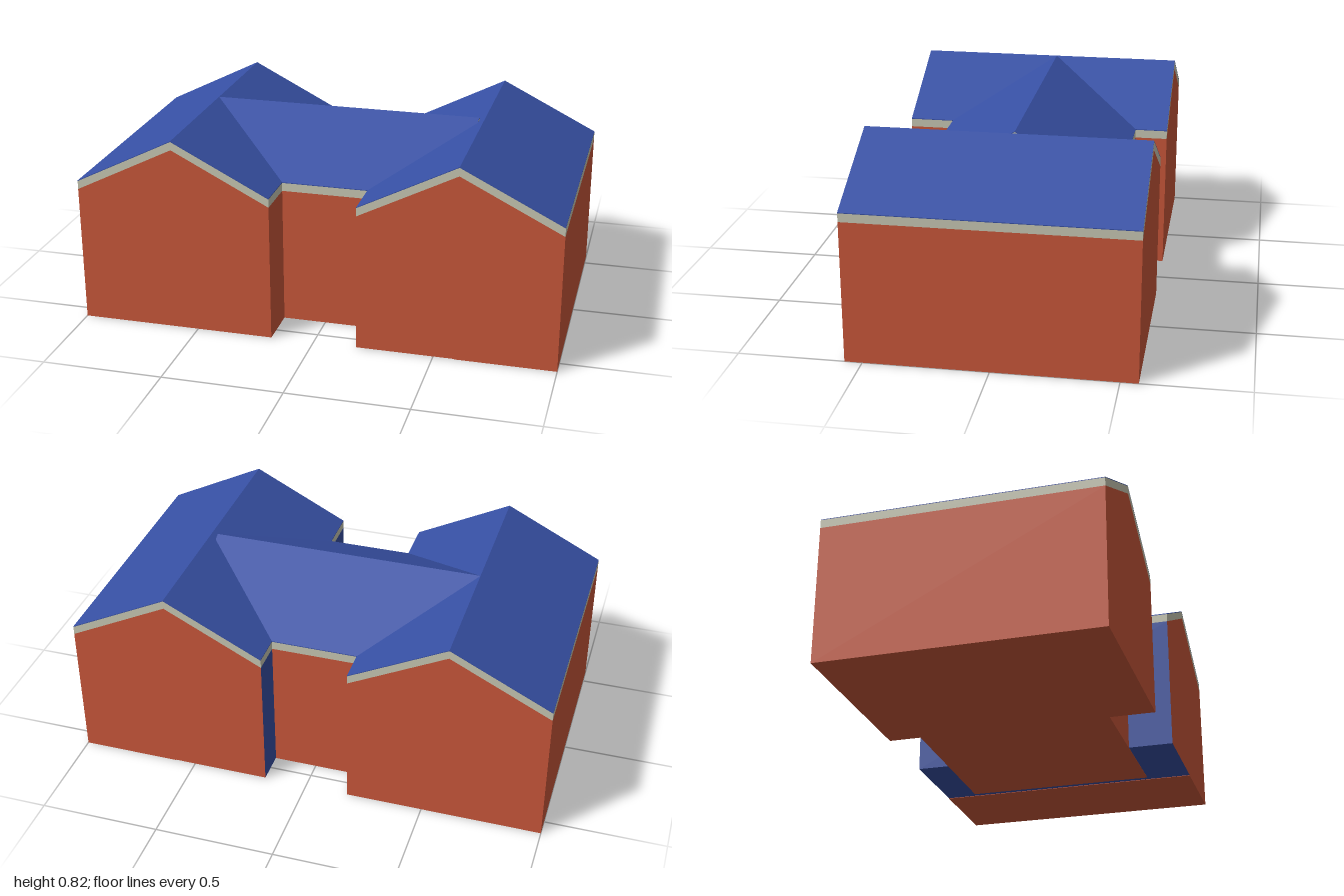
import * as THREE from 'three';

const brick = new THREE.MeshStandardMaterial({ color: 0xc9573a });
const trim = new THREE.MeshStandardMaterial({ color: 0xc8c8b4 });
const slate = new THREE.MeshStandardMaterial({ color: 0x3750a4 });

const EAVE = 0.618, RIDGE = 0.825; // roof surface heights
const FASCIA = 0.038, SKIN = 0.003; // vertical thicknesses
const HALF_Z = 0.571; // half length of the wings
const INNER = 0.18, PEAK = 0.586, OUTER = 1; // wing eaves and ridge in x

// Straight extrusion of a 2D outline from z0 to z1
function prism(name, points, z0, z1, material) {
  const shape = new THREE.Shape(points.map(([a, b]) => new THREE.Vector2(a, b)));
  const geometry = new THREE.ExtrudeGeometry(shape, { depth: z1 - z0, bevelEnabled: false });
  geometry.translate(0, 0, z0);
  const mesh = new THREE.Mesh(geometry, material);
  mesh.name = name;
  return mesh;
}

// Band following a roof line, between two depths below it
function band(name, line, top, bottom, z0, z1, material) {
  const upper = line.map(([a, y]) => [a, y - top]);
  const lower = line.map(([a, y]) => [a, y - bottom]).reverse();
  return prism(name, [...upper, ...lower], z0, z1, material);
}

// Walls filling the space between the base and the roof
function walls(name, line, base, z0, z1, material) {
  const top = line.map(([a, y]) => [a, y - FASCIA]);
  const first = line[0][0], last = line[line.length - 1][0];
  return prism(name, [[last, base], [first, base], ...top], z0, z1, material);
}

// Fascia board with a thin slate covering
function roof(line, z0, z1) {
  const group = new THREE.Group();
  group.name = 'roof';
  group.add(
    band('fascia', line, SKIN, FASCIA, z0, z1, trim),
    band('roofCovering', line, 0, SKIN, z0, z1, slate)
  );
  return group;
}

export function createModel() {
  const model = new THREE.Group();
  model.name = 'house';

  // Right wing: one gabled block
  const rightLine = [[-OUTER, EAVE], [-PEAK, RIDGE], [-INNER, EAVE]];
  const rightWing = new THREE.Group();
  rightWing.name = 'rightWing';
  rightWing.add(
    walls('rightWalls', rightLine, 0, -HALF_Z, HALF_Z, brick),
    roof(rightLine, -HALF_Z, HALF_Z)
  );

  // Left wing: brick outer half; inner half has brick gables and blue sides
  const leftLine = [[INNER, EAVE], [PEAK, RIDGE], [OUTER, EAVE]];
  const leftWing = new THREE.Group();
  leftWing.name = 'leftWing';
  leftWing.add(
    walls('leftOuterWalls', leftLine.slice(1), 0, -HALF_Z, HALF_Z, brick),
    walls('leftInnerWalls', leftLine.slice(0, 2), 0.002, -HALF_Z, HALF_Z, [brick, slate]),
    roof(leftLine, -HALF_Z, HALF_Z)
  );

  // Cross block: drawn with its ridge along z, then turned to run along x
  const crossLine = [[-0.382, EAVE], [0.026, RIDGE], [0.434, EAVE]];
  const crossBlock = new THREE.Group();
  crossBlock.name = 'crossBlock';
  crossBlock.add(
    walls('crossWalls', crossLine, 0, -PEAK, 0.56, brick),
    roof(crossLine, -PEAK, 0.56)
  );
  crossBlock.rotation.y = Math.PI / 2;

  model.add(rightWing, leftWing, crossBlock);
  return model;
}
